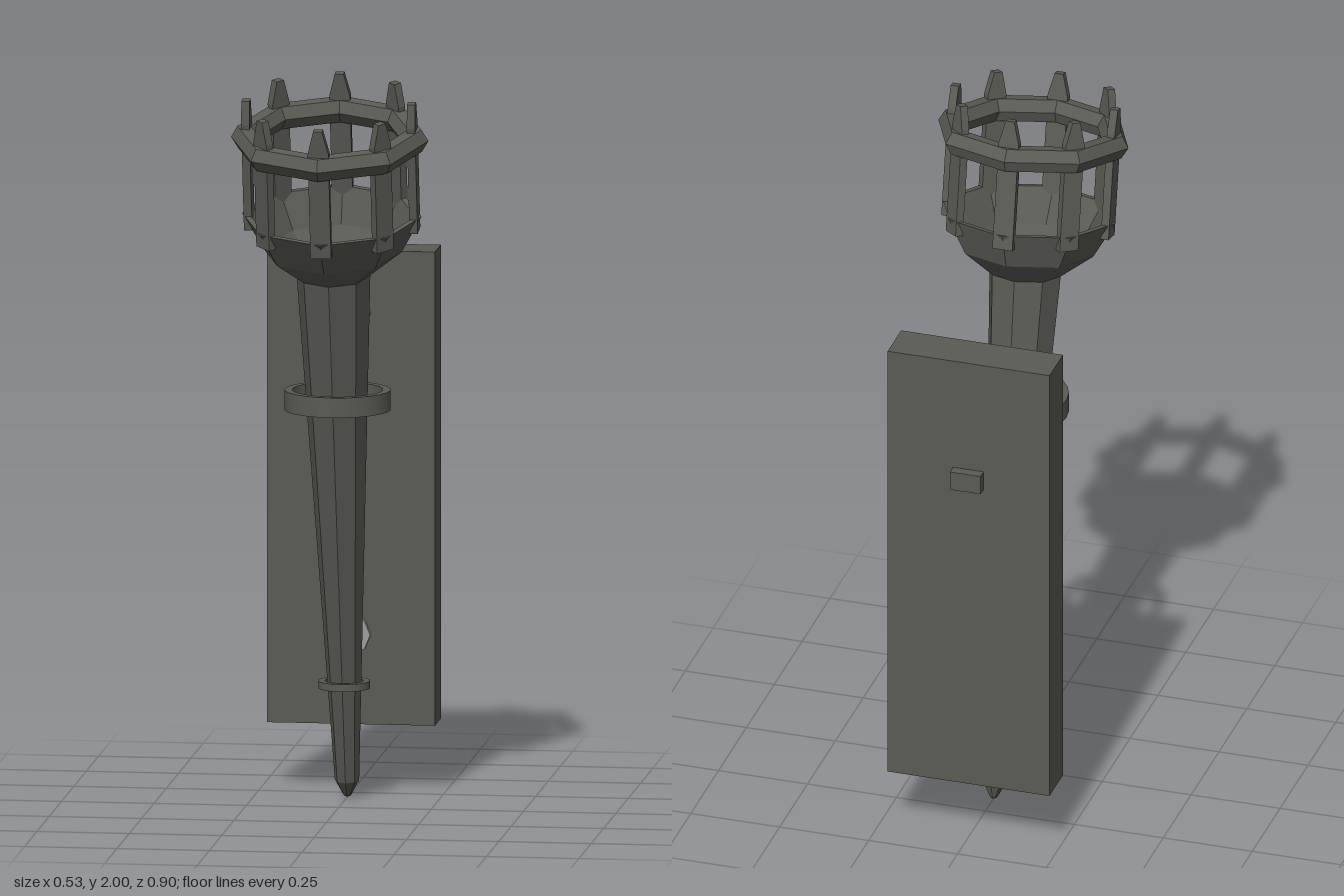
import * as THREE from 'three';
import { toCreasedNormals } from 'three/addons/utils/BufferGeometryUtils.js';

export function createModel() {
  const model = new THREE.Group();
  model.name = 'wallTorch';
  const iron = new THREE.MeshStandardMaterial({ color: 0x5b5b55 });
  iron.name = 'dark iron';
  const steel = new THREE.MeshStandardMaterial({ color: 0x9e9e9e });
  steel.name = 'pale steel';

  const add = (parent, name, geometry, material, x = 0, y = 0, z = 0) => {
    const mesh = new THREE.Mesh(geometry, material);
    mesh.name = name;
    mesh.position.set(x, y, z);
    parent.add(mesh);
    return mesh;
  };
  // Turned part from [radius, height] pairs, edges sharper than the crease stay hard
  const turned = (points, sides, crease = 0.1) => toCreasedNormals(
    new THREE.LatheGeometry(points.map(([r, h]) => new THREE.Vector2(r, h)), sides), crease);
  // Box given by its limits
  const block = (name, x0, x1, y0, y1, z0, z1) => add(model, name,
    new THREE.BoxGeometry(x1 - x0, y1 - y0, z1 - z0), iron,
    (x0 + x1) / 2, (y0 + y1) / 2, (z0 + z1) / 2);
  // Horizontal band with an open middle
  const band = (name, outer, inner, h, x, y, z) => add(model, name, turned([
    [inner, -h / 2], [outer, -h / 2], [outer, h / 2], [inner, h / 2], [inner, -h / 2],
  ], 24, 0.6), iron, x, y, z);

  // Torch leans forward from its tip
  const torch = new THREE.Group();
  torch.name = 'torch';
  torch.position.set(0, 0.008, -0.178);
  torch.rotation.x = THREE.MathUtils.degToRad(11);
  model.add(torch);

  add(torch, 'stem', turned([[0, 0], [0.01, 0.005], [0.033, 0.05], [0.1, 1.495]], 8), iron);
  add(torch, 'bowl', turned([
    [0.095, 1.49], [0.187, 1.563], [0.243, 1.665],
    [0.226, 1.665], [0.175, 1.572], [0.105, 1.5], [0.027, 1.45], [0, 1.45],
  ], 8), iron);

  // Cage ring with a six-sided section
  const hoop = new THREE.TorusGeometry(0.231, 0.036, 6, 8);
  hoop.rotateX(-Math.PI / 2);
  add(torch, 'cageRing', toCreasedNormals(hoop, 0.1), iron, 0, 1.882, 0);

  // Eight upright bars with pointed tops
  const barShape = new THREE.Shape([
    [-0.028, 1.625], [0.028, 1.625], [0.028, 1.925], [0.012, 1.988], [-0.012, 1.988], [-0.028, 1.925],
  ].map(([x, y]) => new THREE.Vector2(x, y)));
  const barGeometry = new THREE.ExtrudeGeometry(barShape, { depth: 0.022, bevelEnabled: false });
  barGeometry.translate(0, 0, 0.213);
  for (let i = 0; i < 8; i++) {
    add(torch, 'cageBar', barGeometry, iron).rotation.y = i * Math.PI / 4;
  }

  // Wall plate, holding bands and their arms
  block('wallPlate', -0.235, 0.22, 0.185, 1.473, -0.425, -0.304);
  band('upperBand', 0.143, 0.122, 0.054, 0, 1.121, 0.022);
  block('upperArm', -0.05, 0.036, 1.094, 1.148, -0.453, -0.1);
  band('lowerBand', 0.07, 0.052, 0.02, 0, 0.325, -0.112);
  block('lowerArm', -0.033, 0.02, 0.315, 0.335, -0.31, -0.168);

  // Bolt heads
  for (const y of [0.43, 1.305]) {
    const bolt = new THREE.CylinderGeometry(0.053, 0.053, 0.03, 8);
    bolt.rotateX(Math.PI / 2);
    add(model, 'boltHead', toCreasedNormals(bolt, 0.1), steel, -0.006, y, -0.301);
  }
  return model;
}
